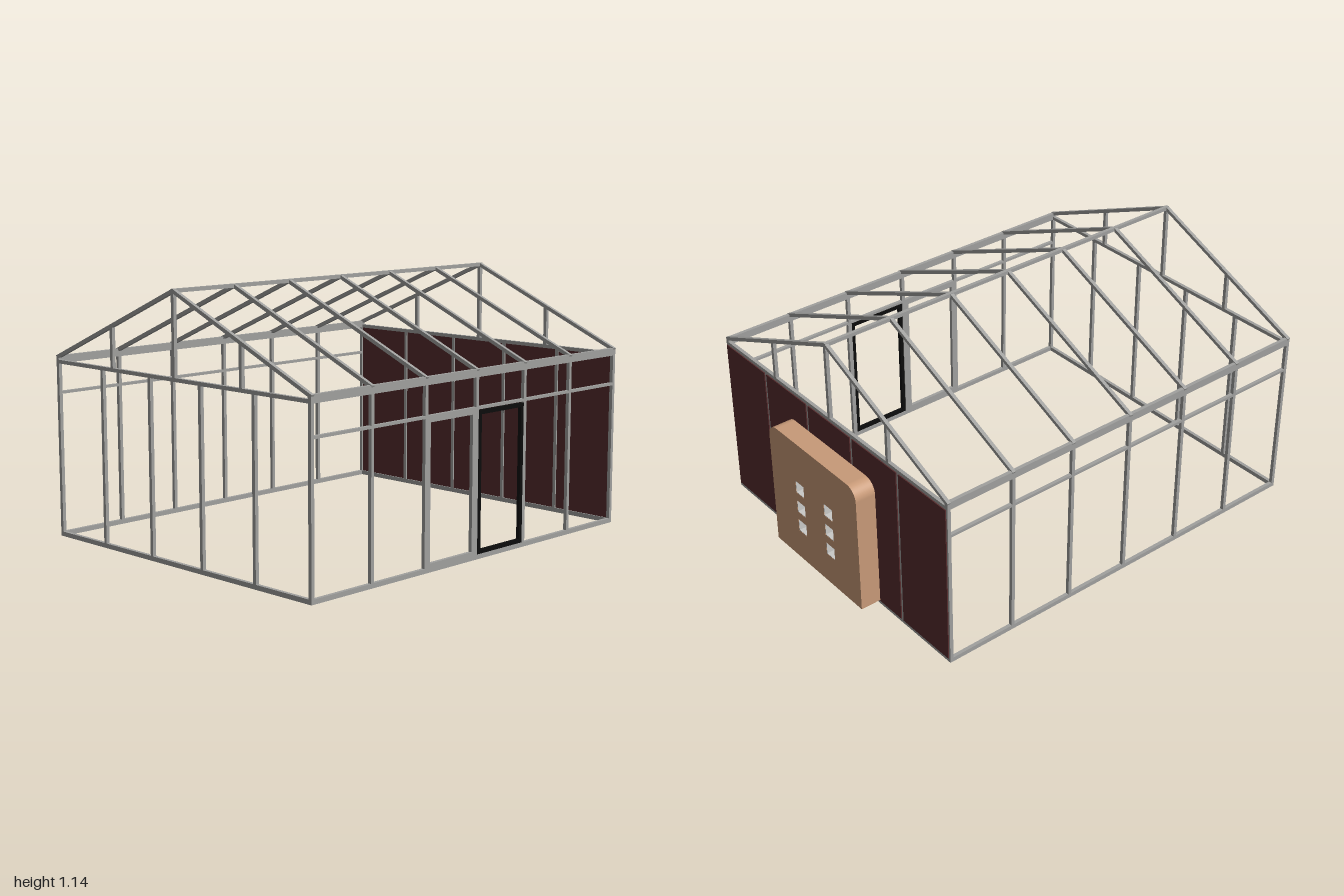
import * as THREE from 'three';

const mat = (name, color) => {
  const m = new THREE.MeshStandardMaterial({ color });
  m.name = name;
  return m;
};

export function createModel() {
  const steel = mat('steelGrey', 0xa0a09e);
  const maroon = mat('maroonPanel', 0x562c2d);
  const tan = mat('tanSlab', 0xc89a78);
  const light = mat('lightGrey', 0xcacac8);
  const black = mat('blackFrame', 0x0c0c0c);

  const model = new THREE.Group();
  model.name = 'framedHall';
  const group = (name, parent = model) => {
    const g = new THREE.Group();
    g.name = name;
    parent.add(g);
    return g;
  };
  // box given by its lower and upper bounds
  const box = (parent, name, m, x0, x1, y0, y1, z0, z1) => {
    const mesh = new THREE.Mesh(new THREE.BoxGeometry(x1 - x0, y1 - y0, z1 - z0), m);
    mesh.position.set((x0 + x1) / 2, (y0 + y1) / 2, (z0 + z1) / 2);
    mesh.name = name;
    parent.add(mesh);
    return mesh;
  };

  const X0 = -1, X1 = 0.9, Z = 0.786, T = 0.016, h = T / 2;
  const WALL = 0.78, RIDGE = 1.128, EAVE = 0.79;
  const bays = [-0.992, -0.67, -0.36, -0.05, 0.26, 0.572, 0.892];
  const studs = [-0.47, -0.157, 0.157, 0.47];

  // long walls: sill, top plate, middle rail and posts
  for (const s of [1, -1]) {
    const wall = group(s > 0 ? 'frontWall' : 'backWall');
    const zc = s * (Z - h);
    box(wall, 'sill', steel, X0, X1, 0, 0.02, zc - h, zc + h);
    box(wall, 'topPlate', steel, X0, X1, 0.764, 0.798, zc - h, zc + h);
    box(wall, 'rail', steel, X0, X1, 0.63, 0.642, zc - h, zc + h);
    for (const x of bays) box(wall, 'post', steel, x - h, x + h, 0.02, 0.764, zc - h, zc + h);
  }

  // end walls with gable posts
  for (const x of [bays[0], bays[6]]) {
    const wall = group(x > 0 ? 'leftEndWall' : 'rightEndWall');
    box(wall, 'sill', steel, x - h, x + h, 0, 0.02, -Z, Z);
    box(wall, 'tieBeam', steel, x - h, x + h, 0.764, WALL, -Z, Z);
    for (const z of studs) box(wall, 'stud', steel, x - h, x + h, 0.02, 0.764, z - h, z + h);
    for (const z of [-0.4, 0, 0.4]) {
      const top = RIDGE + (EAVE - RIDGE) * Math.abs(z) / Z;
      box(wall, 'gablePost', steel, x - h, x + h, WALL, top, z - h, z + h);
    }
  }

  // roof: ridge beam and pairs of sloping rafters
  const roof = group('roof');
  box(roof, 'ridgeBeam', steel, X0, X1, RIDGE - 0.008, RIDGE + 0.008, -h, h);
  const slope = Math.atan2(RIDGE - EAVE, Z);
  for (const x of bays) for (const s of [1, -1]) {
    const rafter = box(roof, 'rafter', steel, -h, h, -h, h, 0, Math.hypot(Z, RIDGE - EAVE));
    rafter.position.set(x, (RIDGE + EAVE) / 2, s * Z / 2);
    rafter.rotation.x = s * slope;
  }

  // door frames in the front wall
  const doorFrame = (name, m, x0, x1, y0, y1, w, z0, z1) => {
    const g = group(name);
    box(g, 'jamb', m, x0, x0 + w, y0, y1, z0, z1);
    box(g, 'jamb', m, x1 - w, x1, y0, y1, z0, z1);
    box(g, 'header', m, x0 + w, x1 - w, y1 - w, y1, z0, z1);
    box(g, 'threshold', m, x0 + w, x1 - w, y0, y0 + w, z0, z1);
  };
  doorFrame('greyDoorFrame', steel, -0.36, -0.054, 0.013, 0.637, 0.024, Z - T, Z);
  doorFrame('blackDoorFrame', black, -0.04, 0.25, 0.021, 0.625, 0.017, Z - T + 0.001, Z + 0.001);
  box(model, 'doorPost', steel, 0.25, 0.27, 0.02, 0.635, Z - T, Z);

  // maroon infill panels between the studs of the left end
  const panels = group('endPanels');
  const edges = [-Z, ...studs, Z];
  for (let i = 0; i < 5; i++) {
    box(panels, 'panel', maroon, 0.89, 0.905, 0.02, 0.764, edges[i] + h, edges[i + 1] - h);
  }

  // thick slab with rounded top corners and six square openings
  const W = 0.315, Y0 = 0.025, Y1 = 0.636, R = 0.06, a = 0.03;
  const shape = new THREE.Shape();
  shape.moveTo(-W, Y0);
  shape.lineTo(W, Y0);
  shape.lineTo(W, Y1 - R);
  shape.absarc(W - R, Y1 - R, R, 0, Math.PI / 2, false);
  shape.absarc(-W + R, Y1 - R, R, Math.PI / 2, Math.PI, false);
  shape.lineTo(-W, Y0);
  const centres = [];
  for (const z of [-0.104, 0.104]) for (const y of [0.203, 0.303, 0.405]) centres.push([z, y]);
  for (const [z, y] of centres) {
    shape.holes.push(new THREE.Path([[-a, -a], [-a, a], [a, a], [a, -a]]
      .map(([u, v]) => new THREE.Vector2(z + u, y + v))));
  }
  const slab = new THREE.Mesh(
    new THREE.ExtrudeGeometry(shape, { depth: 0.095, bevelEnabled: false, curveSegments: 10 }), tan);
  slab.name = 'slab';
  slab.rotation.y = Math.PI / 2;
  slab.position.x = 0.905;
  model.add(slab);

  // light lining and back plate in each opening
  const windows = group('windows');
  const t = 0.002;
  for (const [z, y] of centres) {
    box(windows, 'windowPlate', light, 0.955, 0.96, y - a, y + a, z - a, z + a);
    for (const s of [-1, 1]) {
      const c = s * (a - t / 2);
      box(windows, 'lining', light, 0.96, 0.999, y - a, y + a, z + c - t / 2, z + c + t / 2);
      box(windows, 'lining', light, 0.96, 0.999, y + c - t / 2, y + c + t / 2, z - a, z + a);
    }
  }
  return model;
}
